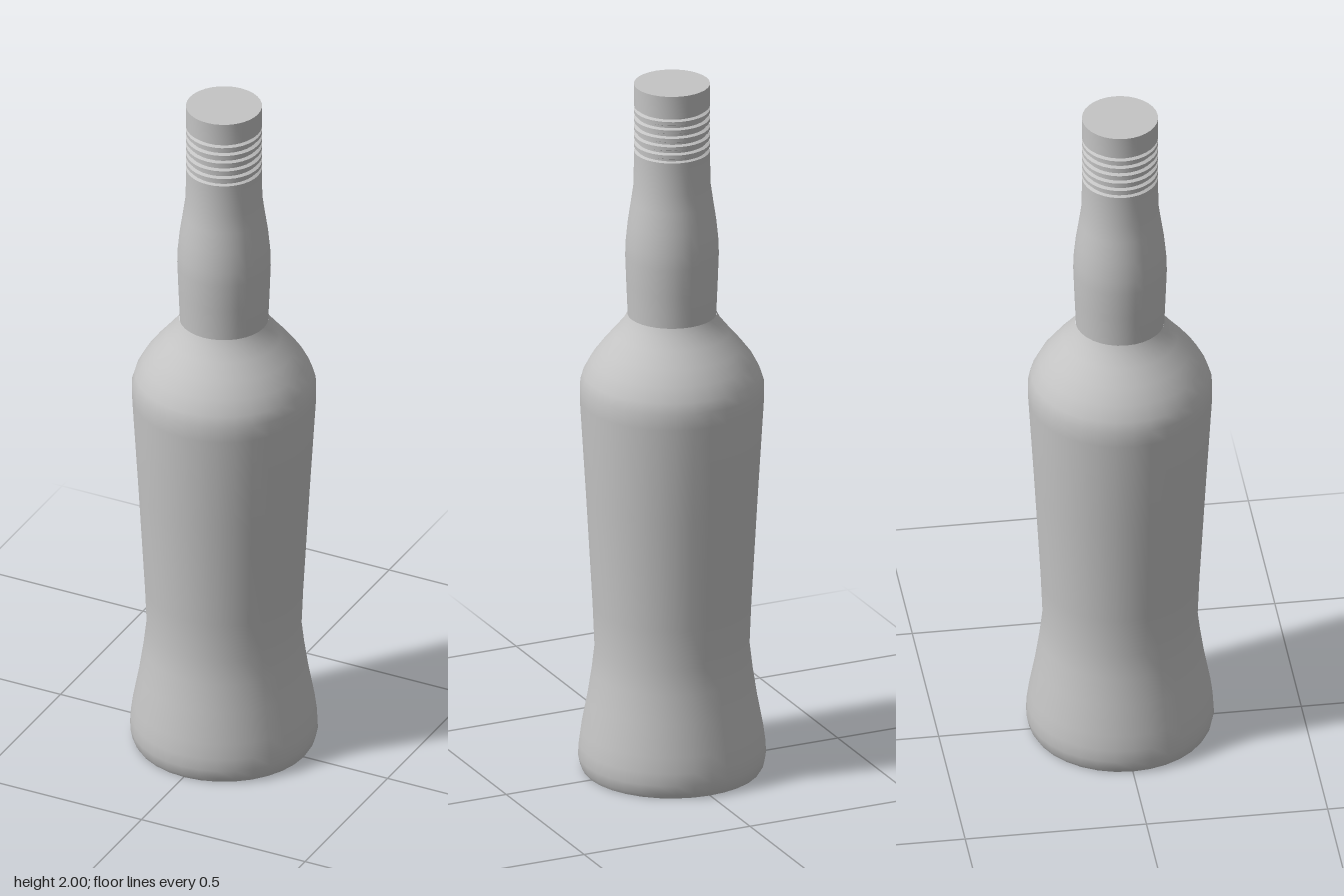
import * as THREE from 'three';
import { toCreasedNormals } from 'three/addons/utils/BufferGeometryUtils.js';

const SIDES = 32;

export function createModel() {
  const group = new THREE.Group();
  const grey = new THREE.MeshStandardMaterial({ color: 0xc4c4c4 });
  grey.name = 'plain grey';

  // Turns a list of [radius, height] pairs, listed bottom to top
  const turn = (name, profile, crease = 0.7) => {
    const points = profile.map(([r, y]) => new THREE.Vector2(r, y));
    const mesh = new THREE.Mesh(toCreasedNormals(new THREE.LatheGeometry(points, SIDES), crease), grey);
    mesh.name = name;
    group.add(mesh);
  };

  // Waisted body with a flat base and rounded shoulder
  turn('body', [
    [0, 0], [0.244, 0], [0.251, 0.012], [0.257, 0.04], [0.255, 0.075], [0.249, 0.12],
    [0.232, 0.21], [0.22, 0.29], [0.212, 0.36], [0.217, 0.48], [0.235, 0.8], [0.252, 1.08],
    [0.252, 1.125], [0.243, 1.155], [0.222, 1.195], [0.192, 1.235], [0.158, 1.275],
    [0.134, 1.305], [0.122, 1.328],
  ]);

  // Slightly bulged neck
  turn('neck', [
    [0.121, 1.325], [0.125, 1.42], [0.128, 1.5], [0.127, 1.54],
    [0.121, 1.6], [0.112, 1.66], [0.105, 1.71], [0.104, 1.805],
  ]);

  // Cap with a stack of rounded ribs and a plain top
  const cap = [[0.104, 1.803], [0.095, 1.808]];
  const pitch = 0.0245;
  for (let i = 0; i < 5; i++) {
    const y = 1.823 + i * pitch;
    cap.push([0.095, y - 0.009], [0.104, y - 0.005], [0.104, y + 0.005], [0.095, y + 0.009]);
  }
  cap.push([0.095, 1.934], [0.104, 1.937], [0.104, 2], [0, 2]);
  turn('cap', cap);

  return group;
}
